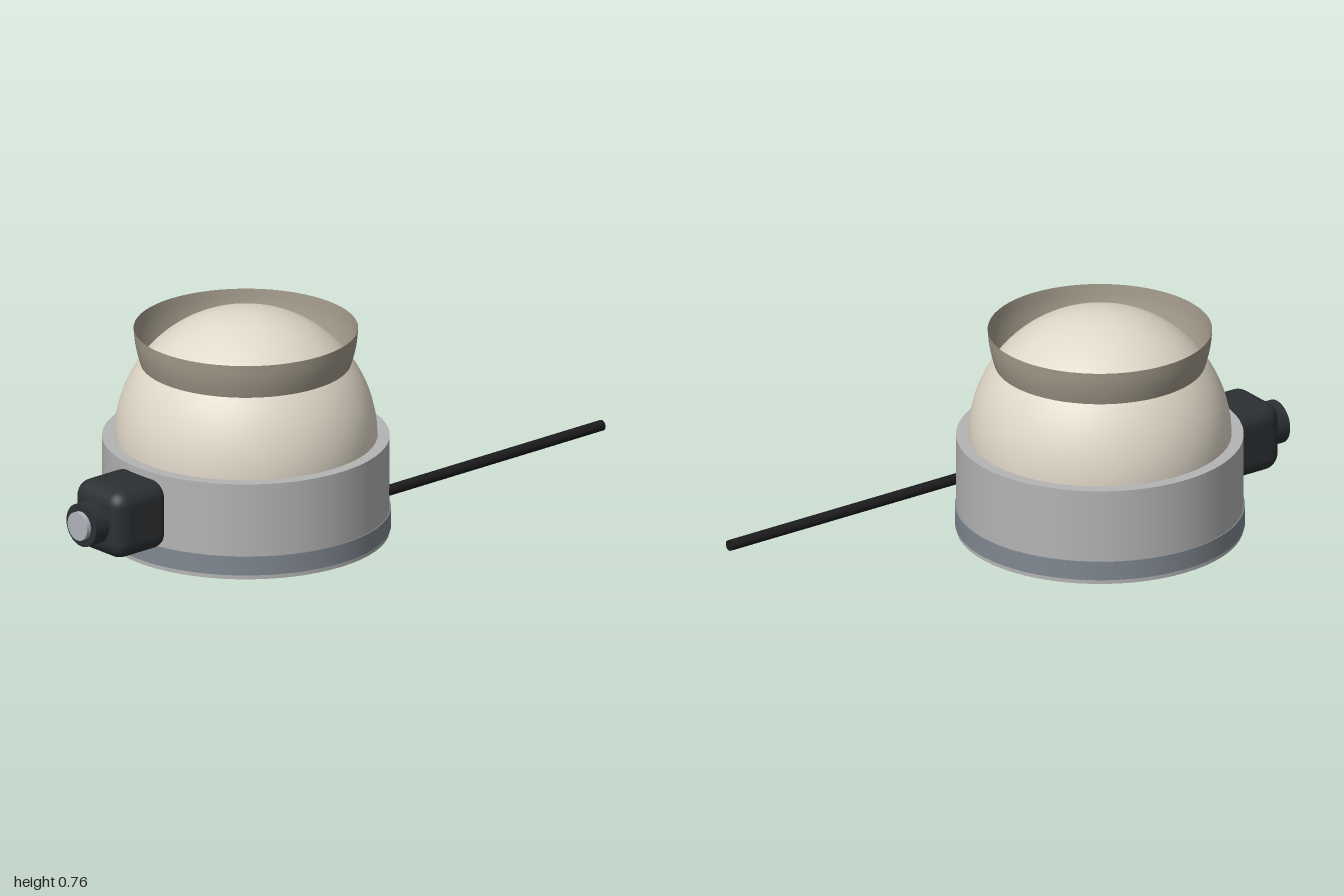
import * as THREE from 'three';
import { RoundedBoxGeometry } from 'three/addons/geometries/RoundedBoxGeometry.js';

const BODY_Z = 0.265; // axis of the round body
const KNOB_Y = 0.19;

export function createModel() {
  const model = new THREE.Group();

  const add = (name, geometry, color, x, y, z, side = THREE.FrontSide) => {
    const mesh = new THREE.Mesh(geometry, new THREE.MeshStandardMaterial({ color, side }));
    mesh.name = name;
    mesh.position.set(x, y, z);
    model.add(mesh);
    return mesh;
  };

  // Cylinder lying along z, from z0 to z1
  const rod = (name, radius, z0, z1, color, x, y) => {
    const g = new THREE.CylinderGeometry(radius, radius, z1 - z0, 32).rotateX(Math.PI / 2);
    return add(name, g, color, x, y, (z0 + z1) / 2);
  };

  // Round base with a slightly proud band near the floor
  add('base', new THREE.CylinderGeometry(0.47, 0.47, 0.33, 64), 0xb4b4b4, 0, 0.165, BODY_Z);
  add('baseBand', new THREE.CylinderGeometry(0.474, 0.474, 0.065, 64), 0x808890, 0, 0.0475, BODY_Z);

  // Half-sphere dome sitting on the base
  const dome = new THREE.SphereGeometry(0.43, 64, 24, 0, Math.PI * 2, 0, Math.PI / 2);
  add('dome', dome, 0xe0d8c8, 0, 0.33, BODY_Z);

  // Thin open collar flaring up around the dome
  const profile = new THREE.SplineCurve([
    new THREE.Vector2(0.345, 0.585),
    new THREE.Vector2(0.355, 0.62),
    new THREE.Vector2(0.363, 0.66),
    new THREE.Vector2(0.367, 0.704),
  ]).getPoints(10);
  add('collar', new THREE.LatheGeometry(profile, 64), 0xa39b8b, 0, 0, BODY_Z, THREE.DoubleSide);

  // Front knob: rounded housing, barrel and pale tip
  add('knobHousing', new RoundedBoxGeometry(0.235, 0.235, 0.235, 6, 0.055), 0x2c3033, 0, KNOB_Y, 0.808);
  rod('knobBarrel', 0.073, 0.9, 0.983, 0x2c3033, 0, KNOB_Y);
  rod('knobTip', 0.048, 0.96, 1, 0xb0b5bc, 0, KNOB_Y);

  // Straight cable leaving the back on the left side
  rod('cable', 0.018, -1, -0.03, 0x1c1c1e, 0.325, 0.145);

  return model;
}
